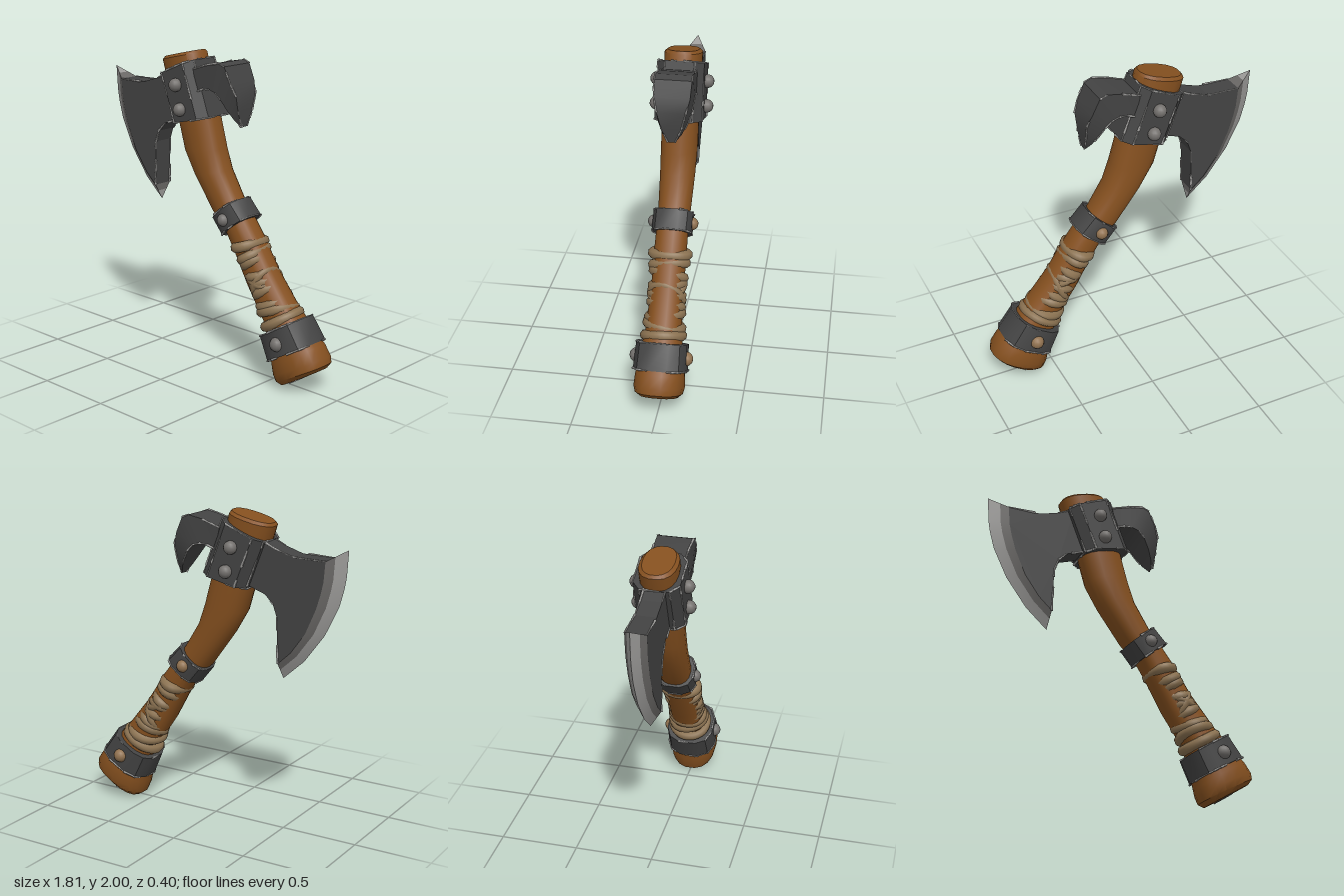
import * as THREE from 'three';
import { toCreasedNormals, mergeGeometries } from 'three/addons/utils/BufferGeometryUtils.js';

const V = (x, y, z = 0) => new THREE.Vector3(x, y, z);

function mat(name, color) {
  const m = new THREE.MeshStandardMaterial({ color });
  m.name = name;
  return m;
}

// Rounded ring spanning the points (lx,ly)-(rx,ry) with half depth d along z
function ring([lx, ly, rx, ry, d], n, p) {
  const k = Math.cos(Math.PI / n) ** p, pts = [];
  const bend = (v) => Math.sign(v) * Math.abs(v) ** p / k;
  for (let i = 0; i < n; i++) {
    const t = ((i + 0.5) / n) * Math.PI * 2;
    const c = bend(Math.cos(t)) / 2, s = bend(Math.sin(t));
    pts.push(V((lx + rx) / 2 + (rx - lx) * c, (ly + ry) / 2 + (ry - ly) * c, d * s));
  }
  return pts;
}

// Skin through closed rings, capped at both ends
function loft(rows, crease = 0.4) {
  const pos = [], n = rows[0].length;
  const tri = (...ps) => ps.forEach((q) => pos.push(q.x, q.y, q.z));
  for (let i = 0; i < rows.length - 1; i++) {
    for (let j = 0; j < n; j++) {
      const k = (j + 1) % n, a = rows[i][j], b = rows[i][k], c = rows[i + 1][k], d = rows[i + 1][j];
      tri(a, b, c);
      tri(a, c, d);
    }
  }
  const mid = (r) => r.reduce((s, q) => s.add(q), V(0, 0)).divideScalar(n);
  const first = rows[0], last = rows[rows.length - 1], m0 = mid(first), m1 = mid(last);
  for (let j = 0; j < n; j++) {
    const k = (j + 1) % n;
    tri(m0, first[k], first[j]);
    tri(m1, last[j], last[k]);
  }
  const g = new THREE.BufferGeometry();
  g.setAttribute('position', new THREE.Float32BufferAttribute(pos, 3));
  return toCreasedNormals(g, crease);
}

export function createModel() {
  const model = new THREE.Group();
  const wood = mat('wood', 0x85501f), iron = mat('darkIron', 0x434343);
  const steel = mat('brightSteel', 0x9c9b99), dullSteel = mat('dullSteel', 0x6a6866);
  const rope = mat('rope', 0x8c7352), rivetGrey = mat('rivetGrey', 0x73706d), rivetTan = mat('rivetTan', 0x917250);
  const add = (name, geo, m) => {
    const mesh = new THREE.Mesh(geo, m);
    mesh.name = name;
    model.add(mesh);
    return mesh;
  };
  let seed = 7;
  const rand = () => (seed = (seed * 16807) % 2147483647) / 2147483647;

  // Broken bright slivers along metal edges
  const slivers = [];
  function wear(pts, closed = false) {
    const path = closed ? [...pts, pts[0]] : pts;
    for (let i = 0; i < path.length - 1; i++) {
      const a = path[i], b = path[i + 1], len = a.distanceTo(b);
      for (let s = 0; s < len;) {
        const e = Math.min(len, s + 0.03 + rand() * 0.07);
        if (rand() < 0.72) {
          const r = 0.004 + rand() * 0.005;
          const g = new THREE.CylinderGeometry(r, r * 0.7, e - s, 5);
          const dir = b.clone().sub(a).normalize();
          g.applyQuaternion(new THREE.Quaternion().setFromUnitVectors(V(0, 1), dir));
          const c = a.clone().addScaledVector(dir, (s + e) / 2);
          slivers.push(g.translate(c.x, c.y, c.z));
        }
        s = e;
      }
    }
  }

  // Curved handle: left x,y, right x,y, half depth
  const handle = [
    [-0.4, 1.935, -0.13, 2.0, 0.095], [-0.412, 1.915, -0.118, 1.985, 0.115], [-0.37, 1.78, -0.08, 1.86, 0.115],
    [-0.27, 1.54, 0.0, 1.6, 0.112], [-0.22, 1.37, 0.055, 1.4, 0.112], [-0.13, 1.22, 0.1, 1.27, 0.108],
    [0.03, 1.0, 0.2, 1.11, 0.1], [0.14, 0.89, 0.29, 1.0, 0.098], [0.21, 0.78, 0.365, 0.9, 0.1],
    [0.32, 0.58, 0.49, 0.71, 0.1], [0.46, 0.38, 0.65, 0.51, 0.11], [0.525, 0.18, 0.79, 0.36, 0.14],
    [0.54, 0.11, 0.85, 0.305, 0.15], [0.552, 0.06, 0.895, 0.24, 0.155], [0.57, 0.02, 0.905, 0.2, 0.145], [0.605, 0.0, 0.882, 0.165, 0.115],
  ];
  add('handle', loft(handle.map((s) => ring(s, 18, 0.85)), 0.6), wood);

  // Bare chip on the butt of the handle
  const chip = [0.002, 0.007].map((o) => ring([0.685 + 0.51 * o, 0.048 - 0.86 * o, 0.755 + 0.51 * o, 0.09 - 0.86 * o, 0.108], 10, 1.3));
  add('buttChip', loft(chip), steel);

  // Iron collar and two handle bands
  function band(name, top, bottom, n, p) {
    const rows = [top, bottom].map((s) => ring(s, n, p));
    add(name, loft(rows, 0.5), iron);
    rows.forEach((r) => wear(r, true));
    return rows;
  }
  const collar = band('headCollar', [-0.385, 1.83, -0.1, 1.95, 0.142], [-0.27, 1.535, 0.03, 1.605, 0.148], 8, 0.5);
  collar[0].forEach((q, i) => wear([q, collar[1][i]]));
  band('upperBand', [0.045, 0.965, 0.225, 1.115, 0.122], [0.125, 0.868, 0.315, 1.02, 0.122], 12, 0.75);
  band('lowerBand', [0.46, 0.295, 0.73, 0.46, 0.155], [0.525, 0.15, 0.83, 0.325, 0.162], 12, 0.75);

  // Rivets on both faces
  for (const [x, y, z, r, back] of [
    [-0.195, 1.79, 0.157, 0.042, rivetGrey], [-0.16, 1.64, 0.157, 0.042, rivetGrey],
    [0.175, 0.99, 0.118, 0.04, rivetTan], [0.65, 0.31, 0.152, 0.045, rivetTan],
  ]) {
    for (const side of [1, -1]) {
      add('rivet', new THREE.SphereGeometry(r, 14, 10), side > 0 ? rivetGrey : back).position.set(x, y, side * z);
    }
  }

  // Blade: cutting edge and the inner line of its bevel
  const edge = [[-0.903, 1.82], [-0.893, 1.66], [-0.88, 1.585], [-0.85, 1.475], [-0.76, 1.29], [-0.625, 1.11], [-0.485, 0.985]];
  const inner = [[-0.785, 1.752], [-0.775, 1.63], [-0.76, 1.56], [-0.73, 1.46], [-0.66, 1.3], [-0.565, 1.17], [-0.478, 1.09]];
  const topLine = [[-0.57, 1.757], [-0.45, 1.795], [-0.34, 1.845]];
  const lowLine = [[-0.27, 1.55], [-0.385, 1.51], [-0.44, 1.455], [-0.467, 1.38], [-0.472, 1.25]];
  const D = 0.065;
  const outline = [...inner].reverse().concat(topLine, [[-0.22, 1.86], [-0.16, 1.6]], lowLine);
  const body = new THREE.ExtrudeGeometry(new THREE.Shape(outline.map(([x, y]) => new THREE.Vector2(x, y))),
    { depth: 2 * D, bevelEnabled: false });
  add('bladeBody', body.translate(0, 0, -D), iron);
  const at = (i, f, s) => V(edge[i][0] + (inner[i][0] - edge[i][0]) * f, edge[i][1] + (inner[i][1] - edge[i][1]) * f, D * f * s);
  const F = 0.58;
  add('cuttingEdge', loft(edge.map((_, i) => [at(i, 0, 0), at(i, F, -1), at(i, F, 1)])), steel);
  add('edgeBevel', loft(edge.map((_, i) => [at(i, F, 1), at(i, F, -1), at(i, 1, -1), at(i, 1, 1)])), dullSteel);
  for (const z of [D, -D]) {
    wear([inner[0], ...topLine].map(([x, y]) => V(x, y, z)));
    wear([...lowLine, inner[6]].map(([x, y]) => V(x, y, z)));
  }

  // Rear hook: inner x,y, outer x,y, half depth
  const hook = [
    [-0.06, 1.76, -0.09, 1.895, 0.108], [0.0, 1.782, 0.03, 1.935, 0.11], [0.05, 1.785, 0.13, 1.955, 0.113], [0.1, 1.77, 0.175, 1.937, 0.113],
    [0.14, 1.73, 0.22, 1.84, 0.108], [0.18, 1.665, 0.25, 1.76, 0.088], [0.21, 1.61, 0.245, 1.65, 0.06], [0.233, 1.565, 0.24, 1.567, 0.022],
  ].map(([ix, iy, ox, oy, d]) => [V(ox, oy, -d), V(ox, oy, d), V(ix, iy, d), V(ix, iy, -d)]);
  add('rearHook', loft(hook, 0.5), iron);
  for (let c = 0; c < 4; c++) wear(hook.map((r) => r[c]));

  // Rope grip: stacked loops that pinch in at the middle, with two crossing strands
  function coil(s, tilt, twist, r) {
    const pinch = 0.022 * Math.sin(Math.PI * s);
    const l = V(0.2 + 0.23 * s + pinch, 0.785 - 0.44 * s + pinch * 0.6), q = V(0.385 + 0.31 * s - pinch, 0.885 - 0.41 * s - pinch * 0.6);
    const c = l.clone().add(q).multiplyScalar(0.5), a = q.sub(c);
    a.setLength(a.length() - r);
    const d = 0.14 + 0.006 * s - pinch * 0.9 - r, pts = [];
    for (let i = 0; i < 16; i++) {
      const t = (i / 16) * Math.PI * 2, o = tilt * Math.sin(t) + twist * Math.cos(t);
      pts.push(c.clone().addScaledVector(a, Math.cos(t)).add(V(0.5 * o, -0.86 * o, d * Math.sin(t))));
    }
    add('ropeLoop', new THREE.TubeGeometry(new THREE.CatmullRomCurve3(pts, true), 40, r, 8, true), rope);
  }
  for (let i = 0; i < 9; i++) coil(i / 8, 0.018 * Math.sin(i * 2.4), 0.012 * Math.cos(i * 1.9), 0.034);
  coil(0.42, 0.03, 0.075, 0.026);
  coil(0.52, -0.02, -0.07, 0.026);

  add('edgeWear', mergeGeometries(slivers), steel);
  return model;
}
